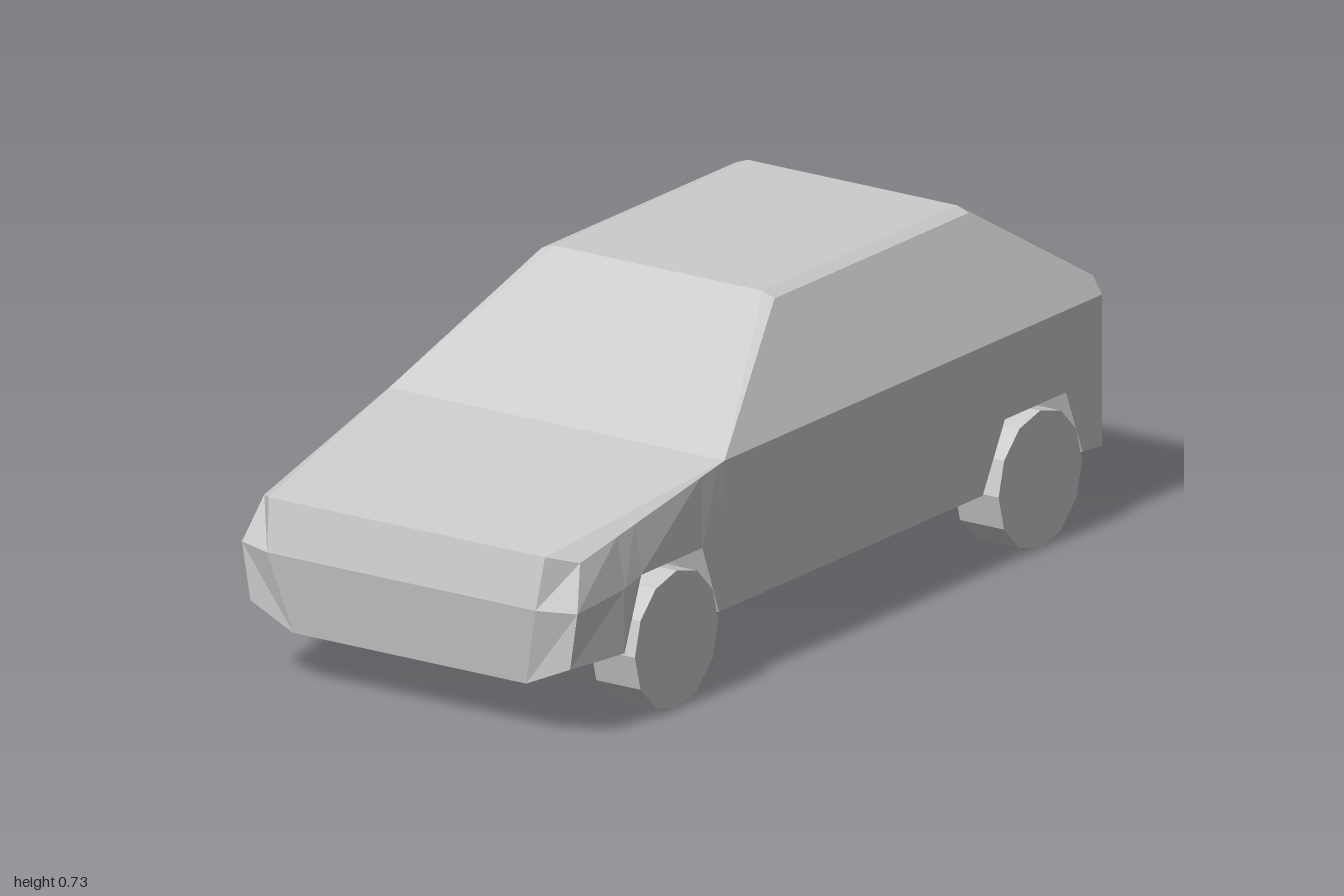
import * as THREE from 'three';

const material = new THREE.MeshStandardMaterial({ color: 0xcccccc, flatShading: true });

// Skins a list of half cross-sections (ordered front to back) and mirrors them.
// altLast swaps the quad diagonal of the final span.
function loft(stations, out, altLast = false) {
  const tri = (a, b, c) => {
    const m = ([x, y, z]) => [-x, y, z];
    out.push(...a, ...b, ...c, ...m(a), ...m(c), ...m(b));
  };
  const same = (p, q) => p.every((v, k) => Math.abs(v - q[k]) < 1e-6);
  const face = (a, b, c) => {
    if (!same(a, b) && !same(b, c) && !same(a, c)) tri(a, b, c);
  };
  for (let i = 0; i < stations.length - 1; i++) {
    const a = stations[i], b = stations[i + 1];
    for (let j = 0; j < a.length - 1; j++) {
      if (altLast && i === stations.length - 2) {
        face(a[j], b[j], a[j + 1]);
        face(b[j], b[j + 1], a[j + 1]);
      } else {
        face(a[j], b[j], b[j + 1]);
        face(a[j], b[j + 1], a[j + 1]);
      }
    }
  }
}

const centre = ([, y, z]) => [0, y, z];

// Belt line: slopes up along the bonnet, then runs level to the tail
function belt(z) {
  const t = Math.min(1, Math.max(0, (0.925 - z) / (0.925 - 0.44)));
  return [0.4 + 0.025 * t, 0.385 + 0.099 * t, z];
}

// Lower body section: floor, wheel-arch corner, sill, waist, belt
function section(z, arch = 0) {
  const floor = [0.295, 0.115, z];
  const inner = arch ? [0.3, arch, z] : floor;
  const sill = [0.425, arch || 0.16, z];
  const waist = [0.425, Math.max(0.3, arch), z];
  return [centre(floor), floor, inner, sill, waist, belt(z)];
}

function createBody() {
  const positions = [];

  // Nose and tail end faces
  const noseLow = [0.295, 0.115, 0.97], noseTop = [0.35, 0.403, 0.98];
  const nose = [centre(noseLow), noseLow, noseLow, noseLow, [0.34, 0.29, 1], noseTop];
  const noseCorner = [centre(noseLow), noseLow, noseLow,
    [0.405, 0.165, 0.968], [0.425, 0.29, 0.97], belt(0.925)];
  const tailLow = [0.295, 0.16, -1], tailTop = [0.345, 0.49, -1];
  const tail = [centre(tailLow), tailLow, tailLow, tailLow, [0.345, 0.3, -1], tailTop];
  const tailCorner = [centre(tailLow), tailLow, tailLow,
    [0.425, 0.155, -0.92], [0.425, 0.3, -0.92], belt(-0.92)];

  // Lower body with wheel arches
  loft([
    nose.map(centre), nose, noseCorner,
    section(0.8), section(0.74, 0.315), section(0.52, 0.315), section(0.46), section(0.44),
    section(-0.49), section(-0.57, 0.305), section(-0.79, 0.305), section(-0.85),
    tailCorner, tail, tail.map(centre),
  ], positions);

  // Bonnet, windscreen, roof and rear window
  const top = (b, r1, r2) => [b, r1, r2, centre(r2)];
  const roof = (z) => top(belt(z), [0.295, 0.716, z], [0.265, 0.727, z]);
  loft([
    top(belt(0.925), noseTop, noseTop),
    top(belt(0.44), belt(0.44), [0.4, 0.484, 0.44]),
    roof(0.075), roof(-0.625),
    top(belt(-0.92), tailTop, tailTop),
  ], positions, true);

  const geometry = new THREE.BufferGeometry();
  geometry.setAttribute('position', new THREE.Float32BufferAttribute(positions, 3));
  geometry.computeVertexNormals();
  const body = new THREE.Mesh(geometry, material);
  body.name = 'body';
  return body;
}

export function createModel() {
  const car = new THREE.Group();
  car.name = 'car';
  car.add(createBody());

  // Wheels
  const wheelGeometry = new THREE.CylinderGeometry(0.15, 0.15, 0.112, 12).rotateZ(Math.PI / 2);
  for (const [end, z] of [['front', 0.637], ['rear', -0.673]]) {
    for (const [side, sx] of [['Left', 1], ['Right', -1]]) {
      const wheel = new THREE.Mesh(wheelGeometry, material);
      wheel.name = `${end}${side}Wheel`;
      wheel.position.set(sx * 0.386, 0.15, z);
      car.add(wheel);
    }
  }
  return car;
}
